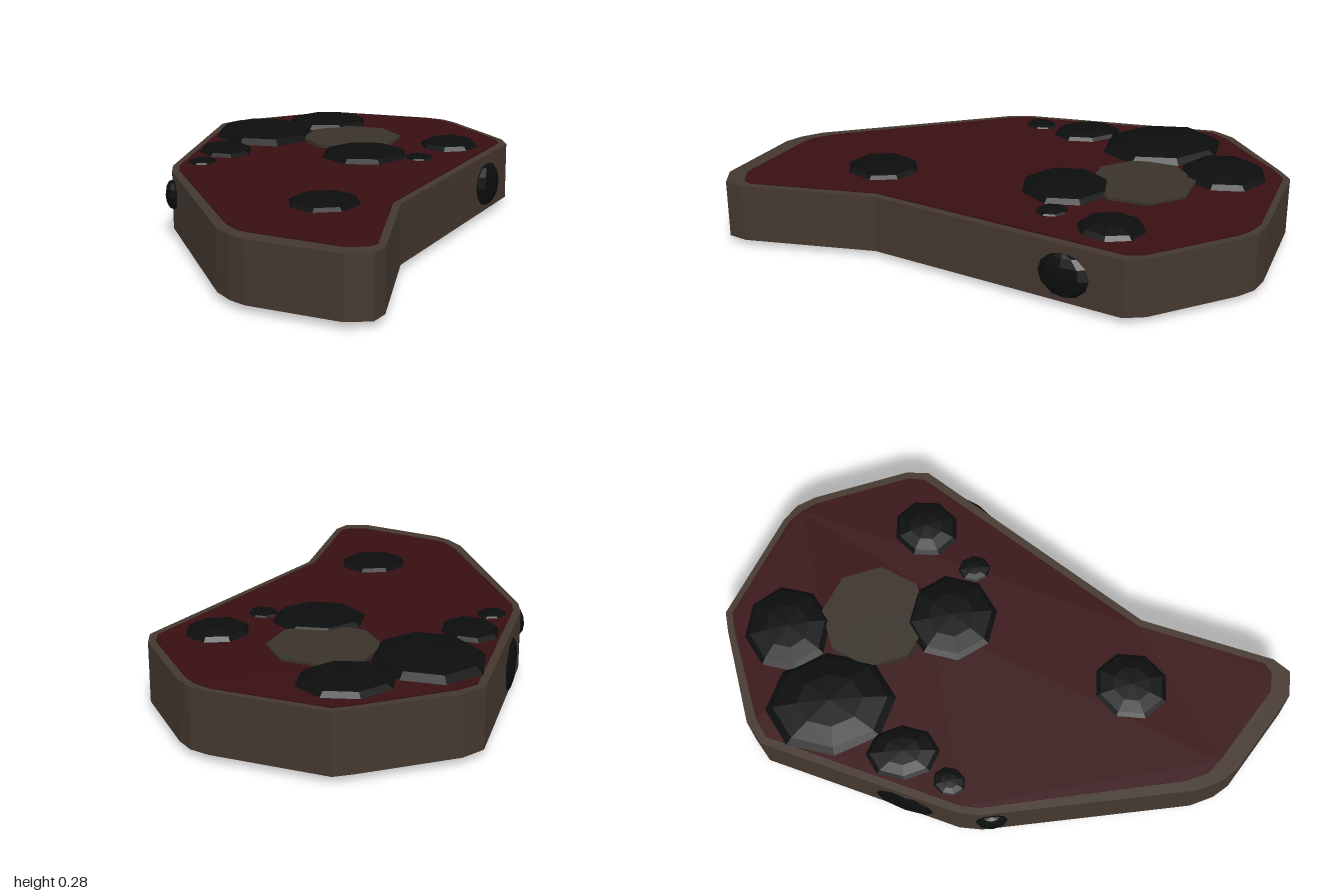
import * as THREE from 'three';

const mat = (color) => new THREE.MeshStandardMaterial({ color, flatShading: true, roughness: 1 });
const fatMat = mat(0x44382f), meatMat = mat(0x380f13), boneMat = mat(0x3a322b), charMat = mat(0x0c0d0d);

// Outlines seen from above as [x, z]
const outer = [
  [0.02, -1], [0.40, -0.85], [0.46, -0.81], [0.5, -0.75], [0.635, -0.43], [0.64, -0.35],
  [0.14, 0.47], [0.04, 0.94], [0, 1], [-0.09, 1], [-0.375, 0.83], [-0.42, 0.78], [-0.46, 0.70],
  [-0.62, -0.02], [-0.62, -0.10], [-0.445, -0.80], [-0.375, -0.86], [-0.05, -0.98],
];
const inner = [
  [0.02, -0.975], [0.39, -0.83], [0.44, -0.79], [0.475, -0.74], [0.61, -0.42], [0.61, -0.36],
  [0.115, 0.46], [0.02, 0.91], [-0.01, 0.935], [-0.08, 0.935], [-0.35, 0.77], [-0.395, 0.735], [-0.43, 0.66],
  [-0.595, -0.03], [-0.595, -0.09], [-0.42, -0.785], [-0.36, -0.83], [-0.05, -0.955],
];
const boneX = 0.055, boneZ = -0.47, boneR = 0.19;

const toPoints = (list) => list.map(([x, z]) => new THREE.Vector2(x, -z));

// Upright slab with one hole, from y0 to y1
function slab(name, outline, hole, y0, y1, material) {
  const shape = new THREE.Shape(toPoints(outline));
  shape.holes.push(new THREE.Path(toPoints(hole)));
  const geo = new THREE.ExtrudeGeometry(shape, { depth: y1 - y0, bevelEnabled: false });
  geo.rotateX(-Math.PI / 2).translate(0, y0, 0);
  const mesh = new THREE.Mesh(geo, material);
  mesh.name = name;
  return mesh;
}

// Flattened faceted lump; turn spins it about y
function lump(name, x, y, z, sx, sy, sz, turn = 0) {
  const mesh = new THREE.Mesh(new THREE.SphereGeometry(1, 8, 6), charMat);
  mesh.name = name;
  mesh.position.set(x, y, z);
  mesh.scale.set(sx, sy, sz);
  mesh.rotation.y = turn;
  return mesh;
}

export function createModel() {
  const group = new THREE.Group();
  group.name = 'steak';

  // Fat rim and meat, with an opening for the bone
  const boneHole = Array.from({ length: 8 }, (_, i) => {
    const a = (i * Math.PI) / 4;
    return [boneX - 0.003 + 0.194 * Math.sin(a), boneZ + 0.005 + 0.194 * Math.cos(a)];
  });
  group.add(slab('fatRim', outer, inner, 0.023, 0.233, fatMat));
  group.add(slab('meat', inner, boneHole, 0.018, 0.237, meatMat));

  // Bone
  const bone = new THREE.Mesh(new THREE.CylinderGeometry(boneR, boneR, 0.246, 8), boneMat);
  bone.name = 'bone';
  bone.position.set(boneX, 0.123, boneZ);
  group.add(bone);

  // Charred patches on top: x, z, half width, half depth, height, turn
  const patches = [
    [-0.28, -0.58, 0.19, 0.23, 0.046, 0.2],
    [-0.02, -0.77, 0.165, 0.155, 0.036, 0.3],
    [0.08, -0.20, 0.165, 0.165, 0.034, 0.25],
    [-0.43, -0.31, 0.10, 0.13, 0.028, 0.15],
    [-0.515, -0.14, 0.052, 0.06, 0.015, -0.4],
    [0.415, -0.33, 0.112, 0.12, 0.034, -0.3],
    [0.275, -0.14, 0.052, 0.06, 0.015, 0.2],
    [-0.11, 0.45, 0.125, 0.135, 0.027, -0.35],
  ];
  for (const [x, z, sx, sz, h, turn] of patches) {
    group.add(lump('charPatch', x, 0.235, z, sx, h, sz, turn));
  }

  // Charred patches on the sides
  group.add(lump('sideChar', 0.535, 0.125, -0.165, 0.03, 0.08, 0.095, -0.55));
  group.add(lump('sideChar', -0.562, 0.11, -0.29, 0.028, 0.097, 0.125, -0.24));
  group.add(lump('sideChar', -0.617, 0.157, 0.015, 0.027, 0.053, 0.055, 0.2));

  return group;
}
